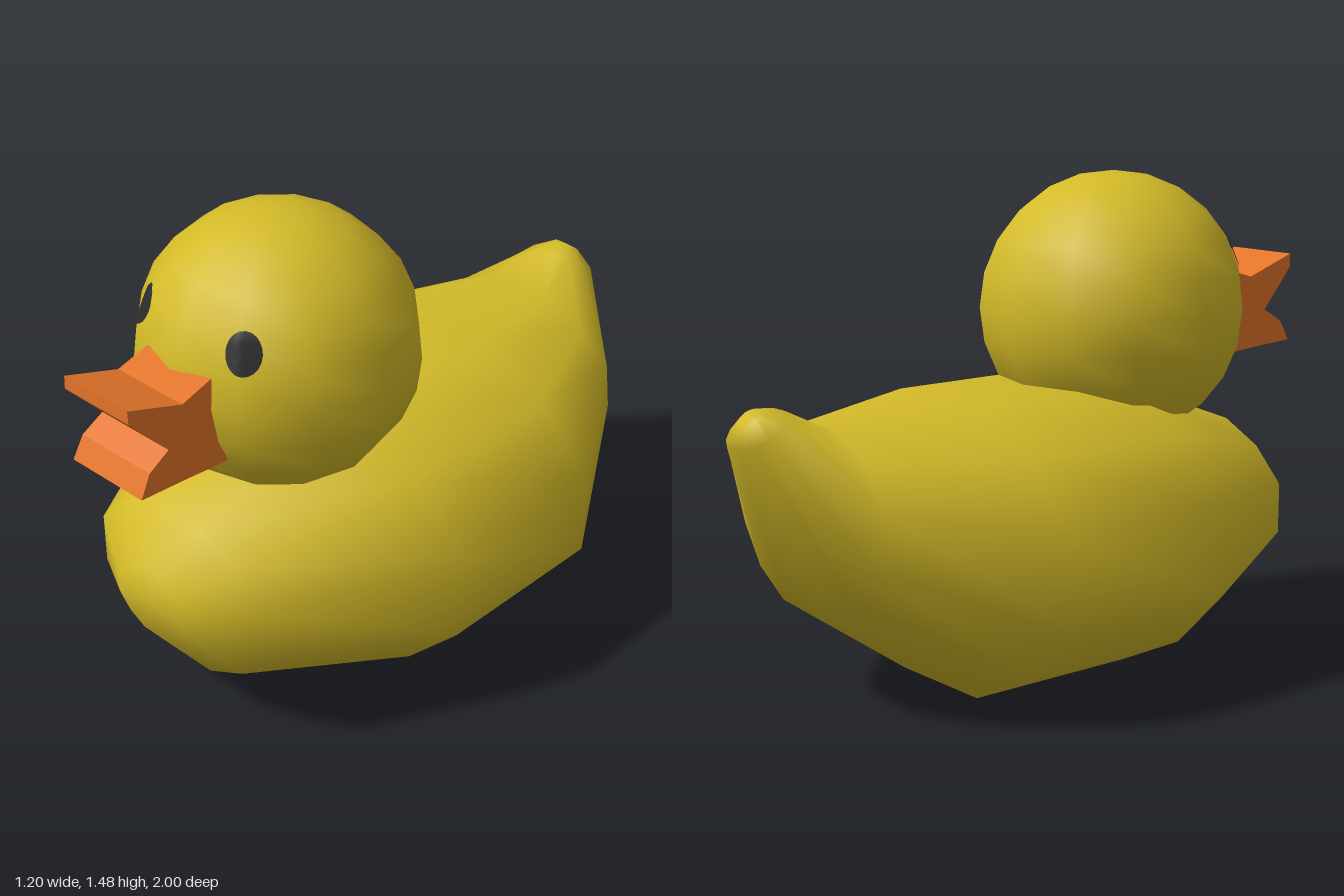
import * as THREE from 'three';

const yellow = new THREE.MeshStandardMaterial({ name: 'duckYellow', color: 0xd3ba28 });
const orange = new THREE.MeshStandardMaterial({ name: 'beakOrange', color: 0xe4752a });
const black = new THREE.MeshStandardMaterial({ name: 'eyeBlack', color: 0x2b2b2b });

function part(name, geometry, material) {
  const mesh = new THREE.Mesh(geometry, material);
  mesh.name = name;
  return mesh;
}

// Body: twelve-sided sections from breast to tail tip
function bodyGeometry() {
  const quarter = [[1, 0.31], [0.7, 0.73], [0.3, 1]];
  const half = [...quarter, ...quarter.map(([x, y]) => [-x, y]).reverse()];
  const section = [...half, ...half.map(([x, y]) => [-x, -y])];
  // top z, top y, bottom z, bottom y, half width
  const rings = [
    [0.865, 0.54, 0.865, 0.33, 0.14],
    [0.75, 0.68, 0.75, 0.18, 0.34],
    [0.25, 0.86, 0.25, 0, 0.6],
    [-0.32, 0.86, -0.32, 0, 0.6],
    [-0.72, 0.82, -0.79, 0.32, 0.34],
    [-0.85, 0.89, -1, 0.8, 0.1],
    [-0.92, 0.9, -0.97, 0.86, 0.04],
  ];
  const n = section.length;
  const positions = [];
  const index = [];
  for (const [zt, yt, zb, yb, w] of rings) {
    for (const [x, v] of section) {
      const t = (v + 1) / 2;
      positions.push(x * w, yb + (yt - yb) * t, zb + (zt - zb) * t);
    }
  }
  for (let i = 0; i < rings.length - 1; i++) {
    for (let j = 0; j < n; j++) {
      const a = i * n + j, b = i * n + (j + 1) % n;
      index.push(a, a + n, b, b, a + n, b + n);
    }
  }
  // Close both ends with a centre point
  [0, rings.length - 1].forEach((i) => {
    const [zt, yt, zb, yb] = rings[i];
    const centre = positions.length / 3;
    positions.push(0, (yt + yb) / 2, (zt + zb) / 2);
    for (let j = 0; j < n; j++) {
      const a = i * n + j, b = i * n + (j + 1) % n;
      index.push(centre, ...(i === 0 ? [a, b] : [b, a]));
    }
  });
  const g = new THREE.BufferGeometry();
  g.setAttribute('position', new THREE.Float32BufferAttribute(positions, 3));
  g.setIndex(index);
  g.computeVertexNormals();
  return g;
}

// Open beak: side profile (z, y) extruded across, a little wider at the bottom
function beakGeometry() {
  const profile = [
    [0.6, 0.9], [0.7, 0.895], [0.82, 0.905], [0.985, 0.915], [0.95, 0.98],
    [0.88, 1.02], [1, 1.15], [1, 1.19], [0.82, 1.13], [0.72, 1.16], [0.6, 1.16],
  ].map(([z, y]) => new THREE.Vector2(z, y));
  const g = new THREE.ExtrudeGeometry(new THREE.Shape(profile), { depth: 2, bevelEnabled: false });
  g.translate(0, 0, -1);
  g.rotateY(-Math.PI / 2);
  const p = g.attributes.position;
  for (let i = 0; i < p.count; i++) {
    p.setX(i, p.getX(i) * (0.125 + (1.19 - p.getY(i)) * 0.05));
  }
  g.computeVertexNormals();
  return g;
}

// Eye: oval patch laid onto the faceted head
function eyeGeometry(head, side) {
  const g = new THREE.RingGeometry(0.001, 1, 20, 4);
  g.scale(0.05, 0.061, 1);
  const direction = new THREE.Vector3(side * 0.195, 0.17, 0.31).normalize();
  const frame = new THREE.Object3D();
  frame.position.copy(head.position).addScaledVector(direction, 0.5);
  frame.lookAt(frame.position.clone().add(direction));
  frame.updateMatrix();
  g.applyMatrix4(frame.matrix);
  const ray = new THREE.Raycaster();
  const inward = direction.clone().negate();
  const p = g.attributes.position;
  const point = new THREE.Vector3();
  for (let i = 0; i < p.count; i++) {
    point.fromBufferAttribute(p, i);
    ray.set(point, inward);
    const hit = ray.intersectObject(head)[0];
    if (hit) point.copy(hit.point);
    else point.addScaledVector(inward, 0.095);
    point.addScaledVector(direction, 0.005);
    p.setXYZ(i, point.x, point.y, point.z);
  }
  g.computeVertexNormals();
  return g;
}

export function createModel() {
  const model = new THREE.Group();
  model.name = 'duck';

  const head = part('head', new THREE.SphereGeometry(0.41, 12, 12), yellow);
  head.position.set(0, 1.07, 0.35);
  head.updateMatrixWorld(true);

  model.add(part('body', bodyGeometry(), yellow), head);
  model.add(part('beak', beakGeometry(), orange));
  model.add(part('leftEye', eyeGeometry(head, 1), black));
  model.add(part('rightEye', eyeGeometry(head, -1), black));
  return model;
}
